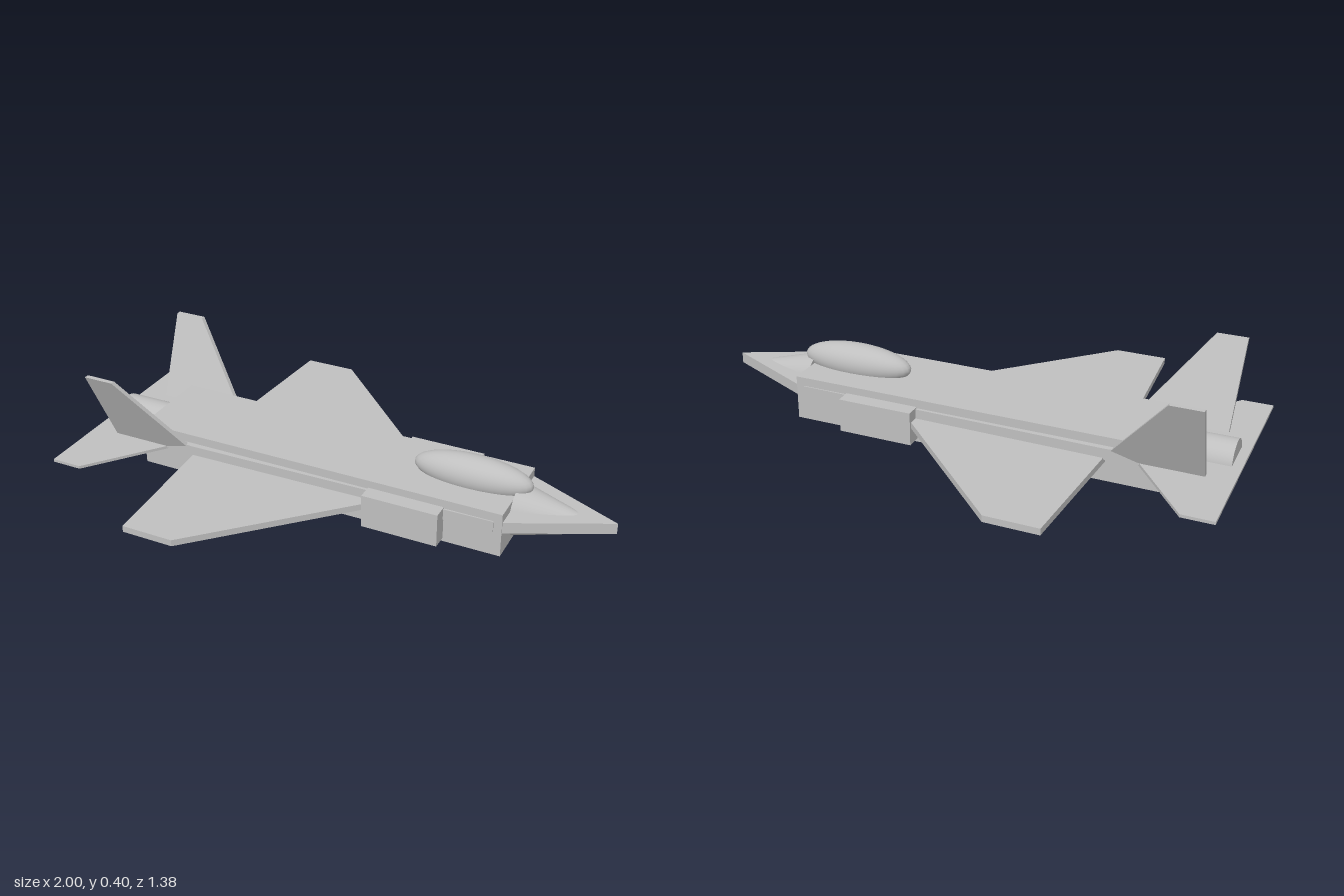
import * as THREE from 'three';

export function createModel() {
  const model = new THREE.Group();
  model.name = 'jet';
  const grey = new THREE.MeshStandardMaterial({ color: 0xbfbfbf });
  grey.name = 'airframeGrey';

  const add = (name, geometry, x = 0, y = 0, z = 0) => {
    const mesh = new THREE.Mesh(geometry, grey);
    mesh.name = name;
    mesh.position.set(x, y, z);
    model.add(mesh);
    return mesh;
  };
  const extrude = (points, depth) => new THREE.ExtrudeGeometry(
    new THREE.Shape(points.map(([a, b]) => new THREE.Vector2(a, b))),
    { depth, bevelEnabled: false });
  // Horizontal plate from an (x, z) outline, between two heights
  const plate = (name, points, bottom, top) =>
    add(name, extrude(points, top - bottom).rotateX(Math.PI / 2), 0, top);
  // Outline of one half, completed by its mirror image
  const symmetric = (half) => [...half, ...half.map(([x, z]) => [x, -z]).reverse()];

  // Body, nose points along +x
  add('fuselage', new THREE.BoxGeometry(1.43, 0.168, 0.336), -0.065, 0.086, 0);
  add('noseCone', new THREE.ConeGeometry(0.097, 0.35, 32).rotateZ(-Math.PI / 2), 0.825, 0.099, 0);
  plate('noseWedge', [[1, 0], [0.65, 0.165], [0.6, 0.165], [0.6, -0.165], [0.65, -0.165]], 0.095, 0.137);
  add('canopy', new THREE.SphereGeometry(1, 32, 20).scale(0.22, 0.069, 0.069), 0.48, 0.195, 0);
  add('engineNozzle', new THREE.CylinderGeometry(0.076, 0.076, 0.2, 32).rotateZ(Math.PI / 2), -0.865, 0.088, 0);
  plate('tailplane', symmetric([[-1, 0.44], [-0.885, 0.44], [-0.67, 0.17]]), 0.09, 0.101);

  for (const [side, s] of [['left', -1], ['right', 1]]) {
    const mirror = (points) => points.map(([x, z]) => [x, z * s]);
    add(side + 'Intake', new THREE.BoxGeometry(0.285, 0.127, 0.125), 0.297, 0.078, s * 0.163);
    plate(side + 'Wing', mirror([[-0.52, 0.692], [-0.325, 0.692], [0.22, 0.15], [-0.556, 0.15]]), 0.077, 0.101);
    plate(side + 'Strake', mirror([[0.62, 0.15], [0.62, 0.172], [-0.56, 0.19], [-0.7, 0.175], [-0.7, 0.15]]), 0.095, 0.137);

    // Tail fin, sheared outwards with height
    const fin = extrude([[-0.9, 0.095], [-0.91, 0.404], [-0.795, 0.404], [-0.58, 0.135], [-0.69, 0.095]], 0.018);
    fin.translate(0, 0, -0.009);
    const p = fin.attributes.position;
    for (let i = 0; i < p.count; i++) {
      p.setZ(i, p.getZ(i) + s * (0.168 + (p.getY(i) - 0.1) * 0.46));
    }
    fin.computeVertexNormals();
    add(side + 'TailFin', fin);
  }
  return model;
}
